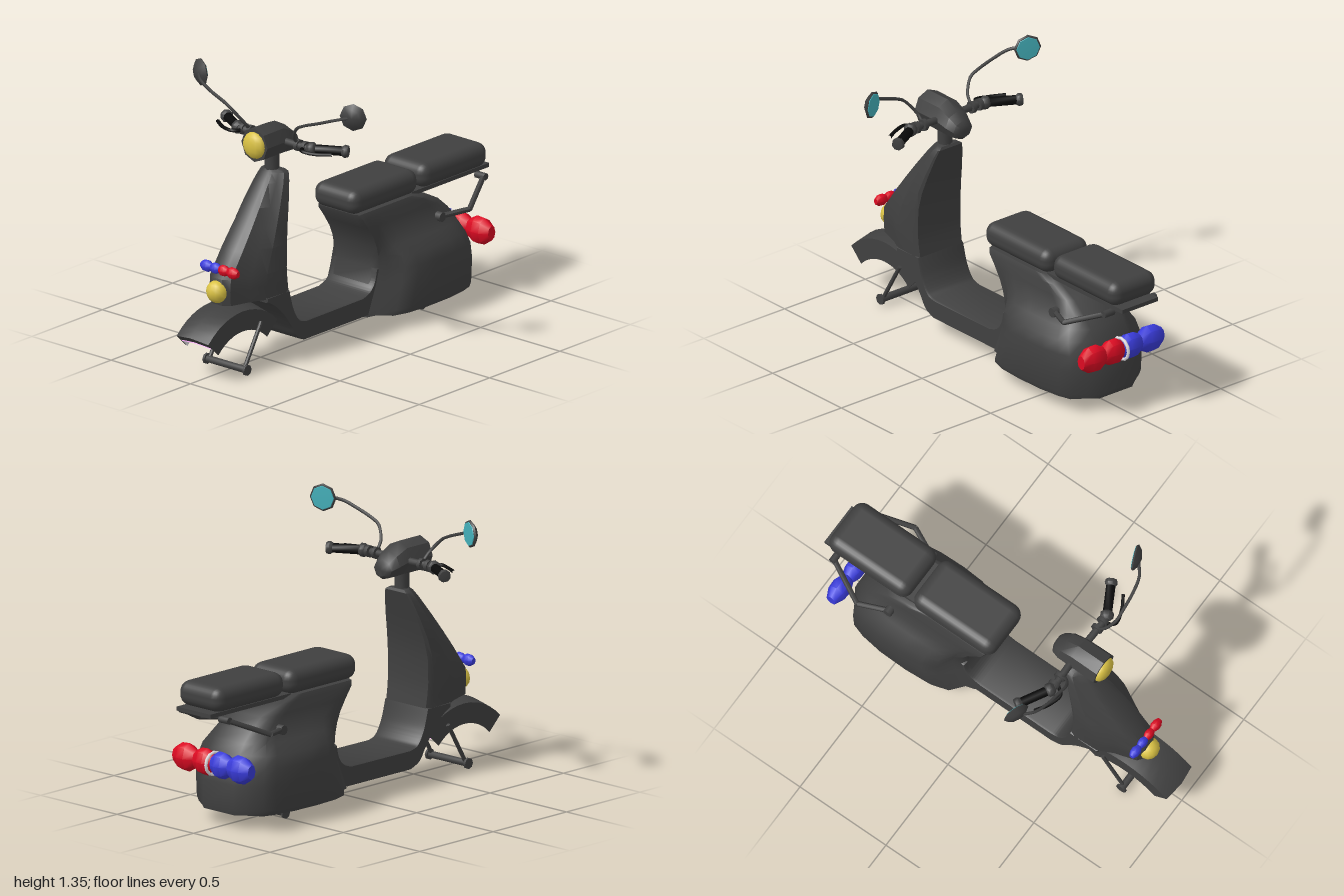
import * as THREE from 'three';
import { toCreasedNormals } from 'three/addons/utils/BufferGeometryUtils.js';
import { RoundedBoxGeometry } from 'three/addons/geometries/RoundedBoxGeometry.js';

const V = (x, y, z) => new THREE.Vector3(x, y, z);

// Skin a stack of closed rings, cap both ends and face the surface outward
function loft(rings, crease = 0.7) {
  const n = rings[0].length, pos = [], idx = [];
  rings.forEach(r => r.forEach(p => pos.push(p.x, p.y, p.z)));
  for (let i = 0; i < rings.length - 1; i++) {
    for (let j = 0; j < n; j++) {
      const a = i * n + j, b = i * n + (j + 1) % n;
      idx.push(a, b, b + n, a, b + n, a + n);
    }
  }
  [0, rings.length - 1].forEach((r, end) => {
    const c = V(0, 0, 0);
    rings[r].forEach(p => c.addScaledVector(p, 1 / n));
    const ci = pos.length / 3;
    pos.push(c.x, c.y, c.z);
    for (let j = 0; j < n; j++) {
      const a = r * n + j, b = r * n + (j + 1) % n;
      end ? idx.push(ci, a, b) : idx.push(ci, b, a);
    }
  });
  const at = i => V(pos[i * 3], pos[i * 3 + 1], pos[i * 3 + 2]);
  let volume = 0;
  for (let i = 0; i < idx.length; i += 3) volume += at(idx[i]).dot(at(idx[i + 1]).cross(at(idx[i + 2])));
  if (volume < 0) idx.reverse();
  const g = new THREE.BufferGeometry();
  g.setAttribute('position', new THREE.Float32BufferAttribute(pos, 3));
  g.setIndex(idx);
  return toCreasedNormals(g, crease);
}

// Open sheet through rows of points
function sheet(rows) {
  const n = rows[0].length, idx = [];
  for (let i = 0; i < rows.length - 1; i++) {
    for (let j = 0; j < n - 1; j++) {
      const k = i * n + j;
      idx.push(k, k + n, k + 1, k + 1, k + n, k + n + 1);
    }
  }
  const g = new THREE.BufferGeometry().setFromPoints(rows.flat());
  g.setIndex(idx);
  return toCreasedNormals(g, 0.5);
}

// Close a half outline of [x, z] pairs into a symmetric ring at height y
const planRing = (half, y) => [
  ...half.map(([x, z]) => V(x, y, z)),
  ...half.slice().reverse().map(([x, z]) => V(-x, y, z)),
];

export function createModel() {
  const model = new THREE.Group();
  model.name = 'scooter';
  const mat = (name, color, side = THREE.FrontSide) => {
    const m = new THREE.MeshStandardMaterial({ color, side });
    m.name = name;
    return m;
  };
  const grey = mat('darkGrey', 0x404040), black = mat('black', 0x0a0a0a);
  const yellow = mat('lampYellow', 0xdac244), red = mat('red', 0xdc0a22), blue = mat('blue', 0x3a3cdc);
  const teal = mat('mirrorTeal', 0x44b0ba), white = mat('white', 0xe4e0e4);
  const pink = mat('pink', 0xdc90dc, THREE.DoubleSide);

  const add = (name, geometry, material = grey) => {
    const m = new THREE.Mesh(geometry, material);
    m.name = name;
    model.add(m);
    return m;
  };
  // Turned part: [radius, distance] profile starting at a and running along dir
  const turned = (name, profile, a, dir, material = grey, sides = 8) => {
    const g = new THREE.LatheGeometry(profile.map(([r, d]) => new THREE.Vector2(r, d)), sides);
    const m = add(name, toCreasedNormals(g, 0.8), material);
    m.position.copy(a);
    m.quaternion.setFromUnitVectors(V(0, 1, 0), dir.clone().normalize());
    return m;
  };
  const rod = (name, a, b, r, material = grey) => {
    const d = b.clone().sub(a), L = d.length();
    return turned(name, [[0, 0], [r, 0], [r, L], [0, L]], a, d, material);
  };
  const tube = (name, pts, r, material = grey) =>
    add(name, new THREE.TubeGeometry(new THREE.CatmullRomCurve3(pts, false, 'centripetal'), 20, r, 6), material);

  // Floorboard sweeping up into the leg shield
  const floor = new THREE.Shape();
  floor.moveTo(-0.3, 0.08);
  floor.lineTo(0.34, 0.08);
  floor.splineThru([[0.4, 0.11], [0.44, 0.17], [0.5, 0.25], [0.56, 0.305], [0.61, 0.335]].map(p => new THREE.Vector2(...p)));
  floor.lineTo(0.61, 0.36);
  floor.lineTo(0.449, 0.36);
  floor.splineThru([[0.42, 0.26], [0.38, 0.195], [0.33, 0.178]].map(p => new THREE.Vector2(...p)));
  floor.lineTo(-0.07, 0.18);
  floor.splineThru([[-0.12, 0.2], [-0.15, 0.24], [-0.165, 0.3]].map(p => new THREE.Vector2(...p)));
  floor.lineTo(-0.3, 0.3);
  const floorGeo = new THREE.ExtrudeGeometry(floor, {
    depth: 0.26, curveSegments: 8, bevelThickness: 0.01, bevelSize: 0.005, bevelOffset: -0.005, bevelSegments: 1,
  });
  floorGeo.translate(0, 0, -0.13).rotateY(-Math.PI / 2);
  add('floorboard', toCreasedNormals(floorGeo, 0.6));

  // Leg shield with a raised centre: [y, rear z, front z, half width]
  const shield = [
    [0.35, 0.447, 0.81, 0.14], [0.42, 0.458, 0.815, 0.142], [0.48, 0.463, 0.81, 0.143], [0.6, 0.46, 0.72, 0.142],
    [0.69, 0.445, 0.65, 0.132], [0.78, 0.42, 0.58, 0.115], [0.88, 0.39, 0.5, 0.09], [0.92, 0.378, 0.465, 0.074],
    [0.932, 0.385, 0.45, 0.055],
  ].map(([y, zr, zf, w]) => {
    const d = zf - zr;
    return planRing([[w * 0.92, zr], [w, zr + 0.08 * d], [w * 0.97, zr + 0.42 * d], [w * 0.7, zr + 0.63 * d],
      [w * 0.46, zr + 0.93 * d], [w * 0.22, zf]], y);
  });
  add('legShield', loft(shield, 0.6));

  // Rear body with bulging flanks: [y, front z, back z, half width]
  const flank = [[0, -0.03, 0], [0.03, 0, 0], [0.09, 0, 0.12], [0.16, 0, 0.7], [0.27, 0, 0.93], [0.45, 0, 1],
    [0.65, 0, 0.97], [0.8, 0, 0.84], [0.89, 0, 0.66], [0.95, -0.01, 0.15], [1, -0.04, 0]];
  const rear = [
    [0.075, -0.08, -0.825, 0.25], [0.1, -0.09, -0.83, 0.26], [0.22, -0.14, -0.83, 0.262], [0.3, -0.165, -0.815, 0.26],
    [0.36, -0.16, -0.79, 0.243], [0.41, -0.148, -0.76, 0.198], [0.46, -0.128, -0.715, 0.165], [0.52, -0.09, -0.645, 0.147],
    [0.57, -0.055, -0.55, 0.14], [0.595, -0.045, -0.47, 0.13],
  ].map(([y, zf, zb, w]) => planRing(flank.map(([t, inset, bulge]) => {
    const base = Math.min(w, 0.14);
    return [base + inset + (w - base) * bulge, zf + (zb - zf) * t];
  }), y));
  add('rearBody', loft(rear, 0.8));

  // Seats and rear rack
  [['frontSeat', -0.247, 0.655], ['rearSeat', -0.74, 0.66]].forEach(([name, z, y]) => {
    add(name, new RoundedBoxGeometry(0.278, 0.122, 0.47, 3, 0.052)).position.set(0, y, z);
  });
  add('rack', new THREE.BoxGeometry(0.22, 0.02, 0.55)).position.set(0, 0.592, -0.725);

  // Front fender: a thick channel along an arc, pale inside with pink lips; sections are [x, radius]
  const outer = [[0.1, 0.24], [0.1, 0.34], [0, 0.36], [-0.1, 0.34], [-0.1, 0.24]];
  const inner = [[0.096, 0.24], [0.094, 0.305], [0, 0.322], [-0.094, 0.305], [-0.096, 0.24]];
  const lip = [[0.092, 0.3], [0, 0.318], [-0.092, 0.3]];
  const arcRow = (section, degrees) => {
    const a = degrees * Math.PI / 180;
    return section.map(([x, r]) => V(x, -0.02 + r * Math.sin(a), 0.74 + r * Math.cos(a)));
  };
  const angles = Array.from({ length: 13 }, (_, i) => 44 + (92 * i) / 12);
  add('frontFender', sheet(angles.map(a => arcRow(outer, a))));
  add('fenderLining', sheet(angles.slice().reverse().map(a => arcRow(inner, a))), white);
  add('fenderFrontEdge', sheet([arcRow(inner, 44), arcRow(outer, 44)]));
  add('fenderRearEdge', sheet([arcRow(outer, 136), arcRow(inner, 136)]));
  for (const a of [43.4, 134.6]) add('fenderLip', sheet([arcRow(lip, a), arcRow(lip, a + 2)]), pink);

  // Steering neck and headlight housing: [z, half width, bottom, top]
  rod('neck', V(0, 0.9, 0.42), V(0, 1.02, 0.42), 0.035);
  const housing = [[0.545, 0.082, 0.993, 1.162], [0.4, 0.08, 0.992, 1.162], [0.33, 0.074, 0.992, 1.125],
    [0.29, 0.058, 0.995, 1.09], [0.275, 0.035, 1.01, 1.07]].map(([z, w, lo, hi]) =>
    Array.from({ length: 8 }, (_, i) => {
      const a = i * Math.PI / 4;
      return V(w * Math.cos(a), (lo + hi) / 2 + (hi - lo) / 2 * Math.sin(a), z);
    }));
  add('headlightHousing', loft(housing));
  const lens = (name, r, depth, y, z) => {
    const m = add(name, new THREE.SphereGeometry(r, 12, 8), yellow);
    m.scale.z = depth / r;
    m.position.set(0, y, z);
  };
  lens('headlight', 0.066, 0.035, 1.077, 0.545);
  lens('lowerLamp', 0.055, 0.05, 0.415, 0.81);

  // Lumpy signal lamps, red on the left and blue on the right
  const lump = [[0, 0], [0.6, 0], [0.95, 0.15], [0.92, 0.3], [0.62, 0.45], [1, 0.64], [0.95, 0.82], [0.52, 1], [0, 1]];
  const signal = (name, s, L, r, y, z, flat) => {
    const m = turned(name, lump.map(([a, b]) => [a * r, b * L]), V(0, y, z), V(s, 0, 0), s > 0 ? red : blue);
    m.scale.z = flat;
  };
  const ring = add('tailLampRing', new THREE.TorusGeometry(0.054, 0.008, 6, 12), white);
  ring.rotation.y = Math.PI / 2;
  ring.position.set(0, 0.318, -0.862);

  for (const s of [1, -1]) {
    signal('frontSignal', s, 0.115, 0.03, 0.52, 0.79, 0.8);
    signal('tailSignal', s, 0.248, 0.07, 0.318, -0.862, 0.72);

    // Handlebar, collars, grip and brake lever
    rod('handlebar', V(s * 0.05, 1.075, 0.4), V(s * 0.22, 1.075, 0.405), 0.018);
    for (const x of [0.15, 0.195]) rod('collar', V(s * (x - 0.01), 1.075, 0.4), V(s * (x + 0.01), 1.075, 0.4), 0.03);
    const start = V(s * 0.21, 1.075, 0.41), along = V(s * 0.19, 0, -0.105);
    turned('gripCollar', [[0, 0], [0.02, 0], [0.033, 0.015], [0.033, 0.035], [0.022, 0.045], [0, 0.045]], start, along);
    turned('grip', [[0, 0.04], [0.023, 0.04], [0.023, 0.175], [0, 0.175]], start, along, black);
    turned('gripEnd', [[0, 0.17], [0.022, 0.17], [0.032, 0.185], [0.028, 0.203], [0, 0.207]], start, along);
    tube('brakeLever', [V(s * 0.19, 1.075, 0.415), V(s * 0.22, 1.075, 0.455), V(s * 0.29, 1.072, 0.44),
      V(s * 0.36, 1.075, 0.4)], 0.009, black);

    // Mirror with its glass turned toward the rider
    tube('mirrorStalk', [V(s * 0.15, 1.09, 0.41), V(s * 0.157, 1.125, 0.44), V(s * 0.205, 1.19, 0.475),
      V(s * 0.24, 1.21, 0.475), V(s * 0.345, 1.248, 0.468), V(s * 0.42, 1.275, 0.45), V(s * 0.47, 1.287, 0.41)], 0.008);
    const c = V(s * 0.482, 1.288, 0.385), back = V(-s * 0.37, 0, -0.93).normalize();
    turned('mirrorShell', [[0, -0.03], [0.042, -0.02], [0.068, 0], [0.062, 0.008], [0, 0.008]], c, back).rotateY(Math.PI / 8);
    turned('mirrorGlass', [[0, 0], [0.059, 0], [0.057, 0.003], [0, 0.005]], c.clone().addScaledVector(back, 0.008), back, teal)
      .rotateY(Math.PI / 8);

    // Side grab rail
    const hub = V(s * 0.17, 0.46, -0.58), bend = V(s * 0.235, 0.475, -0.72);
    rod('railHub', V(s * 0.12, 0.46, -0.58), V(s * 0.19, 0.46, -0.58), 0.024);
    rod('grabRail', hub, bend, 0.013);
    rod('grabRail', bend, V(s * 0.145, 0.565, -0.92), 0.013);
    rod('railEnd', V(s * 0.1, 0.565, -0.92), V(s * 0.16, 0.565, -0.92), 0.018);

    // Stand legs and bar ends
    rod('frontStandLeg', V(s * 0.11, 0.24, 0.62), V(s * 0.11, 0.035, 0.74), 0.01);
    rod('frontStandEnd', V(s * 0.12, 0.032, 0.74), V(s * 0.132, 0.032, 0.74), 0.027);
    rod('rearStandLeg', V(s * 0.11, 0.085, -0.505), V(s * 0.11, 0.03, -0.505), 0.008);
    rod('rearStandEnd', V(s * 0.12, 0.028, -0.505), V(s * 0.132, 0.028, -0.505), 0.025);
  }
  rod('frontStandBar', V(-0.13, 0.032, 0.74), V(0.13, 0.032, 0.74), 0.018);
  rod('rearStandBar', V(-0.13, 0.028, -0.505), V(0.13, 0.028, -0.505), 0.016);

  return model;
}
